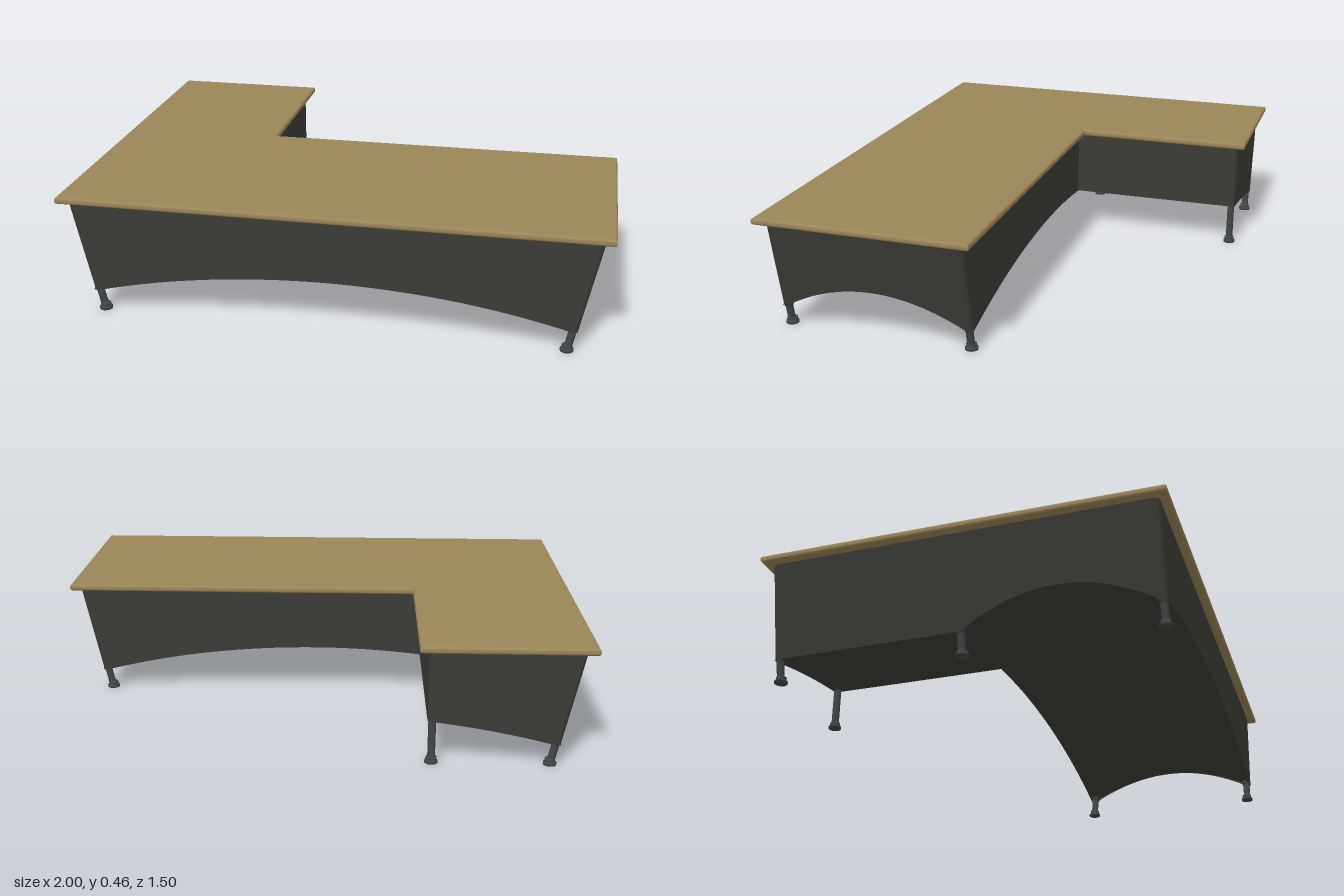
import * as THREE from 'three';

const R = 0.0175;          // cloth offset around a leg
const TOP = 0.431;         // underside of the tabletop
const LOW = 0.08;          // lowest cloth edge, at the legs
const RISE = 0.11;         // height of the arched hems
const INNER = -0.415;      // x of the wing's inner panel
const BACK = -0.0255, FRONT = 0.7175, END = -0.7175;

const lerp = THREE.MathUtils.lerp;
const legX = (y) => 0.857 + 0.212 * y;              // splayed leg line
const arch = (u) => LOW + RISE * (1 - u * u);       // hem curve, u in -1..1
const uOf = (x) => x / legX(LOW);

// Smooth surface from fn(s, t) -> [x, y, z], s and t in 0..1
function grid(fn, ns, nt) {
  const pos = [], index = [];
  for (let j = 0; j <= nt; j++) {
    for (let i = 0; i <= ns; i++) pos.push(...fn(i / ns, j / nt));
  }
  for (let j = 0; j < nt; j++) {
    for (let i = 0; i < ns; i++) {
      const a = j * (ns + 1) + i, b = a + 1, c = a + ns + 1, d = c + 1;
      index.push(a, c, b, b, c, d);
    }
  }
  const g = new THREE.BufferGeometry();
  g.setAttribute('position', new THREE.Float32BufferAttribute(pos, 3));
  g.setIndex(index);
  g.computeVertexNormals();
  return g;
}

// Cylinder running between two points
function rod(a, b, radius) {
  const dir = b.clone().sub(a);
  const g = new THREE.CylinderGeometry(radius, radius, dir.length(), 16);
  g.applyQuaternion(new THREE.Quaternion().setFromUnitVectors(new THREE.Vector3(0, 1, 0), dir.normalize()));
  const m = a.clone().add(b).multiplyScalar(0.5);
  return g.translate(m.x, m.y, m.z);
}

export function createModel() {
  const wood = new THREE.MeshStandardMaterial({ name: 'tan tabletop', color: 0x9a8558 });
  const cloth = new THREE.MeshStandardMaterial({ name: 'dark cloth', color: 0x3b3b36, side: THREE.DoubleSide });
  const metal = new THREE.MeshStandardMaterial({ name: 'dark metal', color: 0x424547 });

  const model = new THREE.Group();
  model.name = 'cornerTable';
  const add = (name, geometry, material, parent = model) => {
    const mesh = new THREE.Mesh(geometry, material);
    mesh.name = name;
    parent.add(mesh);
    return mesh;
  };

  // L-shaped tabletop with rounded edges
  const bevel = 0.01;
  const outline = [[-1, -0.75], [1, -0.75], [1, 0.06], [-0.38, 0.06], [-0.38, 0.75], [-1, 0.75]];
  const shape = new THREE.Shape(outline.map(([x, y]) => new THREE.Vector2(x, y)));
  const top = new THREE.ExtrudeGeometry(shape, {
    depth: 0.006, bevelThickness: bevel, bevelSize: bevel, bevelOffset: -bevel, bevelSegments: 4,
  });
  top.rotateX(-Math.PI / 2).translate(0, 0.43 + bevel, 0);
  add('tabletop', top, wood);

  // Stretched cloth panels, each running from the tabletop down to its hem
  const cover = new THREE.Group();
  cover.name = 'cloth cover';
  model.add(cover);
  const drop = (t, hem) => lerp(TOP, hem, t);

  add('frontPanel', grid((s, t) => {
    const u = 2 * s - 1, y = drop(t, arch(u));
    return [u * legX(y), y, FRONT];
  }, 48, 8), cloth, cover);

  add('backPanel', grid((s, t) => {
    const y = drop(t, arch(lerp(uOf(INNER), 1, s)));
    return [lerp(INNER, legX(y), s), y, BACK];
  }, 36, 8), cloth, cover);

  for (const side of [1, -1]) {
    add(side > 0 ? 'leftPanel' : 'rightPanel', grid((s, t) => {
      const y = drop(t, arch(2 * s - 1));
      return [side * (legX(y) + R), y, lerp(-0.008, 0.7, s)];
    }, 32, 8), cloth, cover);
  }

  add('wingOuterPanel', grid((s, t) => {
    const y = drop(t, LOW);
    return [-legX(y) - R, y, lerp(-0.7, -0.008, s)];
  }, 8, 8), cloth, cover);

  add('wingInnerPanel', grid((s, t) => [INNER, drop(t, arch(uOf(INNER))), lerp(-0.7, BACK, s)], 8, 4), cloth, cover);

  add('wingEndPanel', grid((s, t) => {
    const y = drop(t, arch(lerp(-1, uOf(INNER - R), s)));
    return [lerp(-legX(y), INNER - R, s), y, END];
  }, 16, 8), cloth, cover);

  // Underside of the cover, pulled taut between the hems
  add('mainUnderside', grid((s, t) => {
    const u = 2 * s - 1, v = 2 * t - 1;
    const y = arch(u) + RISE * (1 - v * v) * u ** 4;
    return [u * (legX(y) + R * u * u), y, lerp(BACK, FRONT, t)];
  }, 48, 24), cloth, cover);

  add('wingUnderside', grid((s, t) => {
    const u = lerp(-1, uOf(INNER), s), y = arch(u);
    return [lerp(-legX(y) - R, INNER, s), y, lerp(END, BACK, t)];
  }, 16, 6), cloth, cover);

  // Legs: cloth sleeve, bare metal end and stepped foot
  const footProfile = [[0, 0], [0.024, 0], [0.024, 0.008], [0.017, 0.013], [0.019, 0.016], [0.019, 0.022], [0.013, 0.027], [0, 0.027]];
  const foot = new THREE.LatheGeometry(footProfile.map(([x, y]) => new THREE.Vector2(x, y)), 20);
  const legs = [
    ['frontLeftLeg', 1, 0.7], ['frontRightLeg', -1, 0.7],
    ['middleLeftLeg', 1, -0.008], ['middleRightLeg', -1, -0.008],
    ['wingOuterLeg', -1, -0.7], ['wingInnerLeg', 0, -0.7],
  ];
  for (const [name, side, z] of legs) {
    const at = (y) => new THREE.Vector3(side ? side * legX(y) : INNER - R, y, z);
    const leg = new THREE.Group();
    leg.name = name;
    model.add(leg);
    const hem = side ? LOW : arch(uOf(INNER - R));
    add('sleeve', rod(at(hem), at(TOP), R), cloth, leg);
    add('post', rod(at(0.02), at(TOP), 0.014), metal, leg);
    add('foot', foot, metal, leg).position.copy(at(0));
  }
  return model;
}
